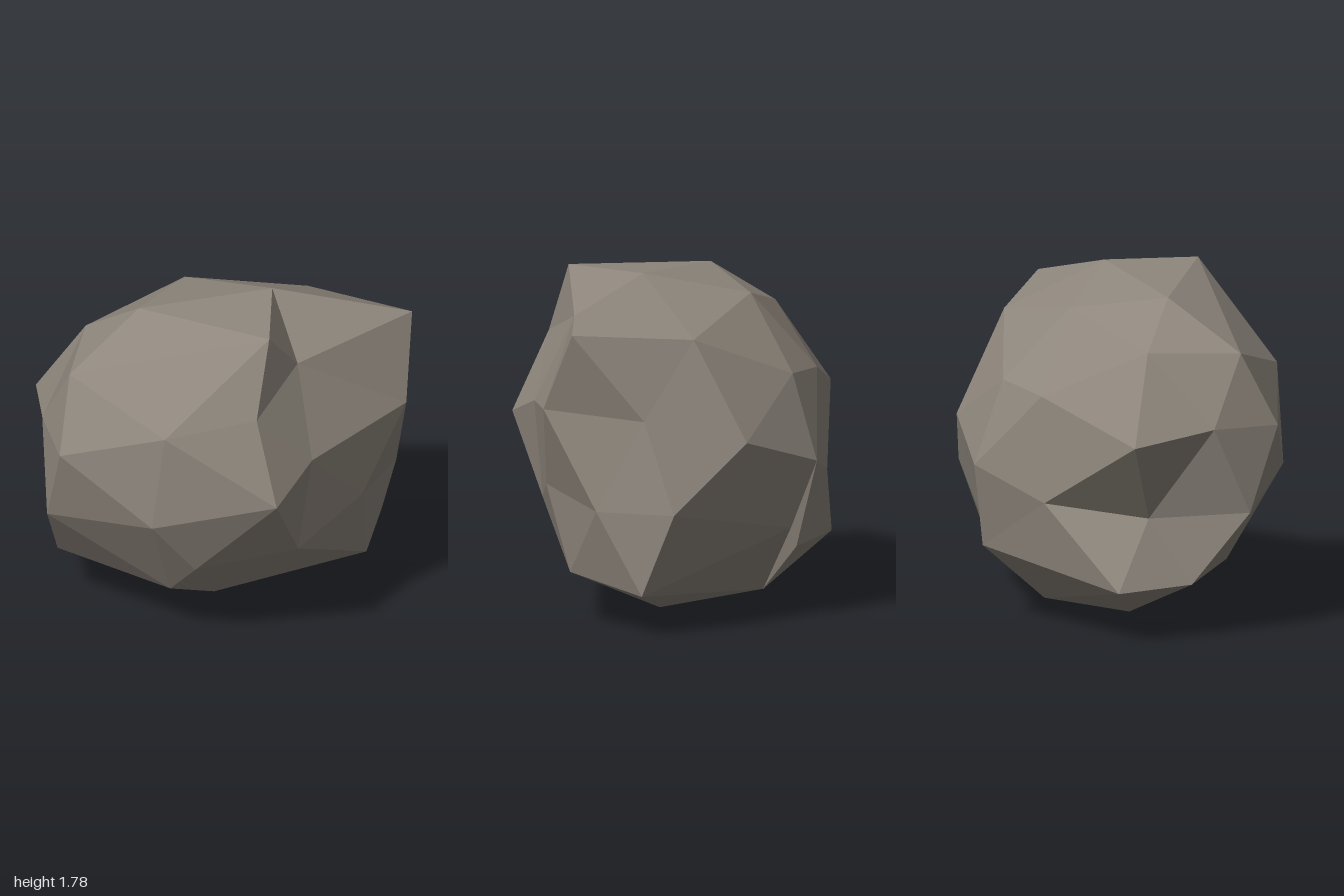
import * as THREE from 'three';

// Faceted boulder: irregular rings of corners, listed clockwise from the front
// (first corner at the top), running from the front tip to the back tip.
const frontTip = [-0.07, 1.10, 1.0];
const frontRing = [[-0.19, 1.48, 0.85], [0.40, 1.30, 0.67], [0.37, 0.78, 0.73], [-0.25, 0.66, 0.95], [-0.43, 1.12, 0.85]];
const shoulder = [
  [-0.20, 1.72, 0.40], [0.52, 1.76, 0.09], [0.63, 1.38, 0.25], [0.82, 0.95, 0.26], [0.42, 0.48, 0.49],
  [0.20, 0.27, 0.49], [-0.46, 0.29, 0.73], [-0.55, 0.63, 0.52], [-0.81, 1.06, 0.615], [-0.53, 1.50, 0.50],
];
const middle = [
  [0.12, 1.78, -0.22], [0.48, 1.53, -0.12], [0.69, 1.07, -0.06], [0.65, 0.55, 0.0], [0.20, 0.16, 0.21],
  [-0.12, 0.0, 0.10], [-0.82, 0.28, 0.52], [-0.82, 0.70, 0.05], [-0.77, 1.25, 0.0], [-0.43, 1.65, -0.06],
];
const rear = [
  [0.455, 1.58, -0.87], [0.61, 1.16, -0.72], [0.61, 0.71, -0.44], [0.48, 0.27, -0.56], [0.03, 0.03, -0.28],
  [-0.50, 0.11, -0.17], [-0.685, 0.39, -0.43], [-0.79, 0.84, -0.41], [-0.66, 1.28, -0.32], [-0.165, 1.52, -0.655],
];
const backRing = [[0.08, 1.13, -0.88], [0.33, 0.65, -0.86], [0.09, 0.22, -0.94], [-0.657, 0.49, -0.437], [-0.445, 1.0, -0.76]];
const backTip = [-0.08, 0.66, -1.0];

const at = (ring, i) => ring[(i + ring.length) % ring.length];

function boulderGeometry() {
  const positions = [];
  const face = (a, b, c) => positions.push(...a, ...b, ...c);

  // Tips and the narrowing bands next to them (five corners against ten)
  for (let i = 0; i < 5; i++) {
    const j = 2 * i;
    const f = frontRing[i], fNext = at(frontRing, i + 1);
    face(frontTip, fNext, f);
    face(f, shoulder[j + 1], shoulder[j]);
    face(f, shoulder[j], at(shoulder, j - 1));
    face(f, fNext, shoulder[j + 1]);

    const b = backRing[i], bNext = at(backRing, i + 1);
    face(b, bNext, backTip);
    face(rear[j], rear[j + 1], b);
    face(at(rear, j - 1), rear[j], b);
    face(rear[j + 1], bNext, b);
  }

  // Two wide bands around the body
  for (const [near, far] of [[shoulder, middle], [middle, rear]]) {
    for (let k = 0; k < 10; k++) {
      face(near[k], at(near, k + 1), far[k]);
      face(at(near, k + 1), at(far, k + 1), far[k]);
    }
  }

  const geometry = new THREE.BufferGeometry();
  geometry.setAttribute('position', new THREE.Float32BufferAttribute(positions, 3));
  geometry.computeVertexNormals();
  return geometry;
}

export function createModel() {
  const stone = new THREE.MeshStandardMaterial({ color: 0x8f877d });
  stone.name = 'warm grey stone';

  const boulder = new THREE.Mesh(boulderGeometry(), stone);
  boulder.name = 'boulder';

  const group = new THREE.Group();
  group.name = 'rock';
  group.add(boulder);
  return group;
}
